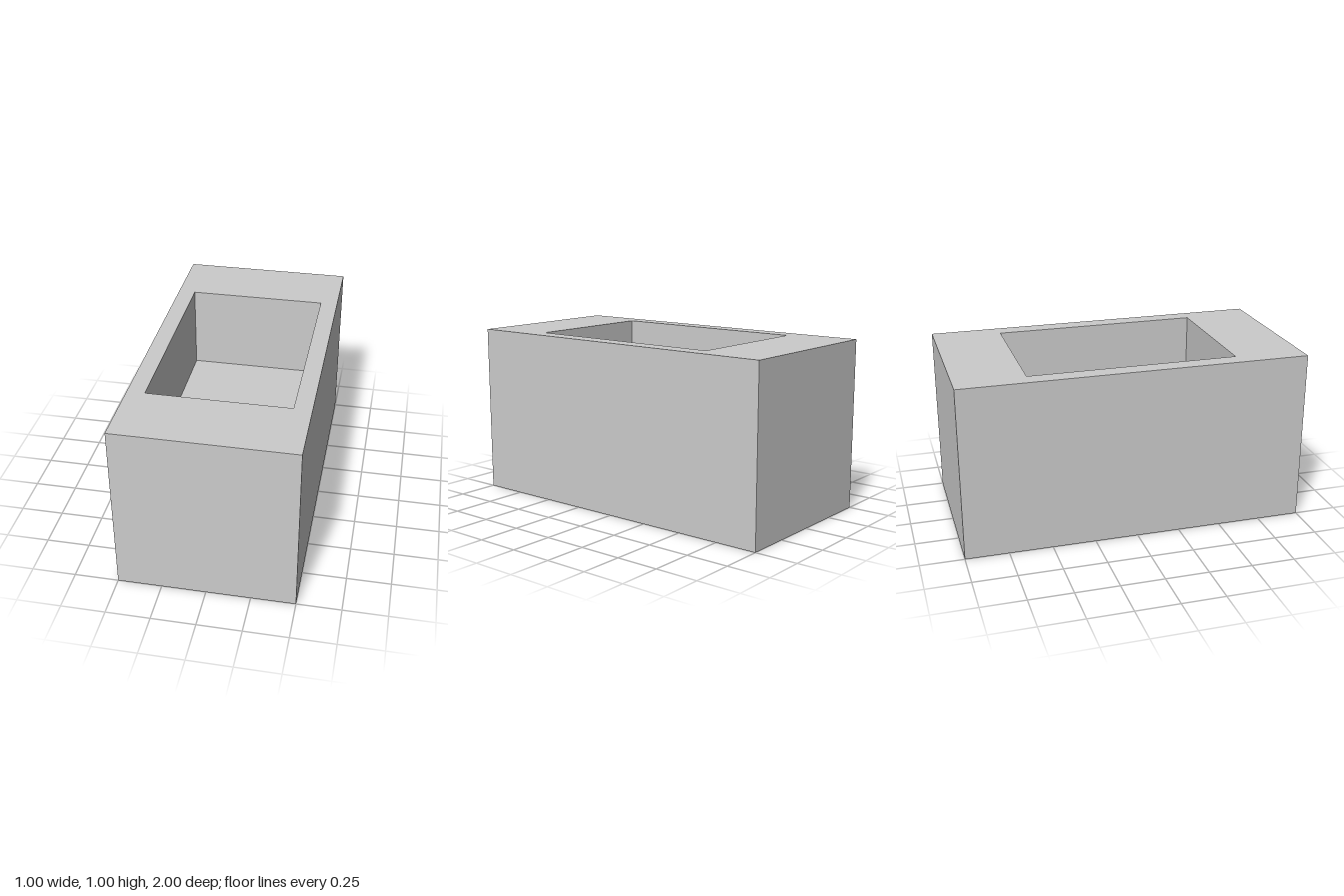
import * as THREE from 'three';

const W = 1, H = 1, L = 2;              // outer block
const CW = 0.8, CL = 1.2, DEPTH = 0.5;  // recessed basin

// Box without its top face, standing on y = bottom; inward turns its faces inside
function openBox(w, h, l, bottom, inward = false) {
  const geo = new THREE.BoxGeometry(w, h, l).translate(0, bottom + h / 2, 0);
  const index = Array.from(geo.index.array);
  index.splice(12, 6); // +y face
  if (inward) index.reverse();
  geo.setIndex(index);
  geo.computeVertexNormals();
  return geo;
}

// Corners of a centred rectangle
function rectangle(w, l) {
  return [[-1, -1], [1, -1], [1, 1], [-1, 1]].map(
    ([x, y]) => new THREE.Vector2(x * w / 2, y * l / 2));
}

export function createModel() {
  const group = new THREE.Group();
  group.name = 'trough';
  const material = new THREE.MeshStandardMaterial({ color: 0xcccccc, flatShading: true });
  const add = (name, geometry) => {
    const mesh = new THREE.Mesh(geometry, material);
    mesh.name = name;
    group.add(mesh);
  };

  // Outer walls and underside
  add('outerShell', openBox(W, H, L, 0));

  // Basin walls and floor
  add('basin', openBox(CW, DEPTH, CL, H - DEPTH, true));

  // Flat rim around the opening
  const rim = new THREE.Shape(rectangle(W, L));
  rim.holes.push(new THREE.Path(rectangle(CW, CL)));
  add('rim', new THREE.ShapeGeometry(rim).rotateX(-Math.PI / 2).translate(0, H, 0));

  return group;
}
